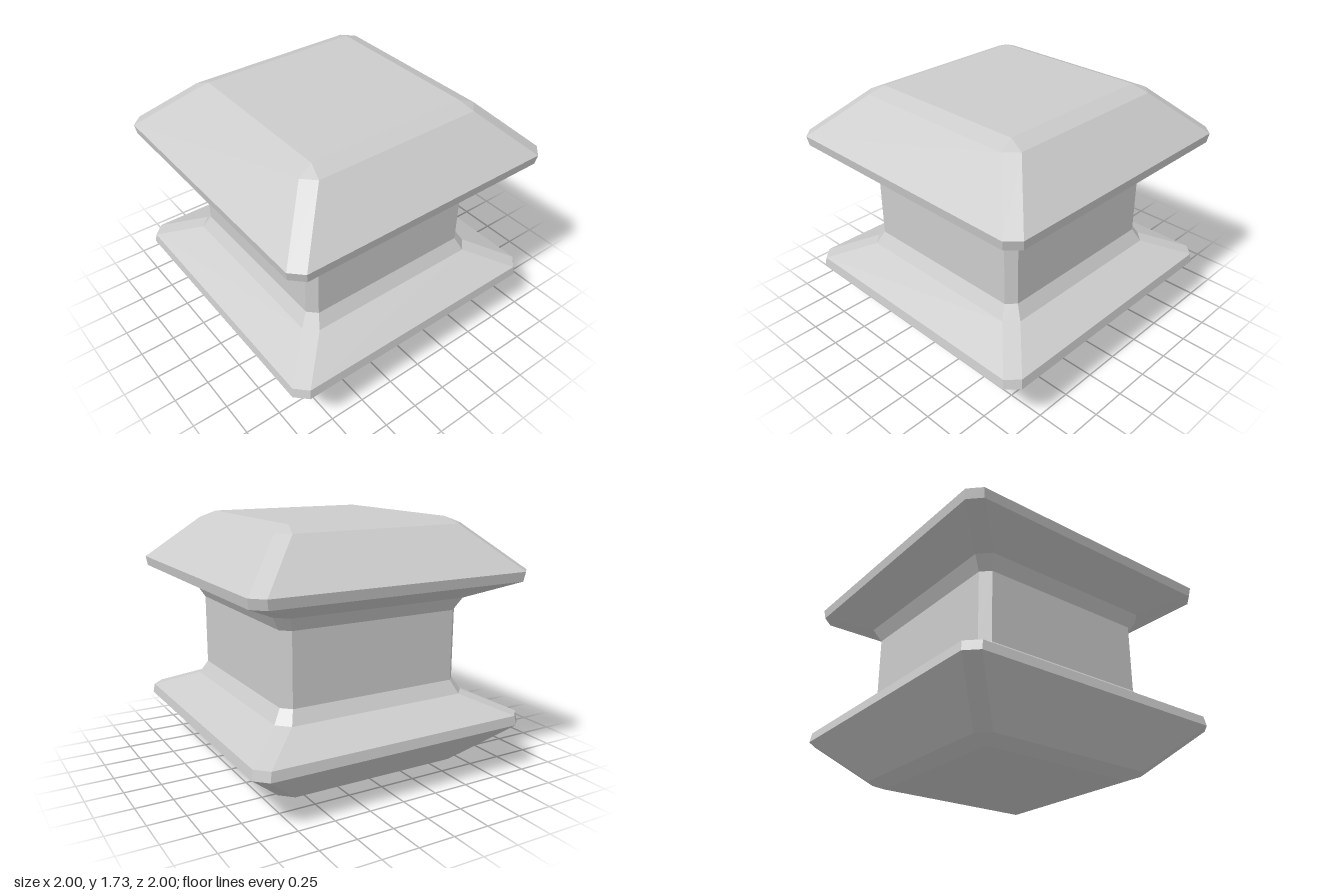
import * as THREE from 'three';

const HEIGHT = 1.73;

// Square outline with cut corners: w = half width, c = half length of the straight side
const ring = ([y, w, c]) =>
  [[w, -c], [w, c], [c, w], [-c, w], [-w, c], [-w, -c], [-c, -w], [c, -w]]
    .map(([x, z]) => new THREE.Vector3(x, y, z));

// Joins sections listed from bottom to top, with optional flat lids
function loft(name, sections, { bottom = false, top = false } = {}) {
  const rings = sections.map(ring);
  const points = [];
  const tri = (a, b, c) => {
    if (new THREE.Triangle(a, b, c).getArea() > 1e-7) points.push(a, b, c);
  };
  for (let s = 0; s < rings.length - 1; s++) {
    const lo = rings[s], hi = rings[s + 1];
    for (let i = 0; i < 8; i++) {
      const j = (i + 1) % 8;
      tri(lo[i], hi[i], lo[j]);
      tri(hi[i], hi[j], lo[j]);
    }
  }
  const first = rings[0], last = rings[rings.length - 1];
  for (let i = 1; i < 7; i++) {
    if (bottom) tri(first[0], first[i], first[i + 1]);
    if (top) tri(last[0], last[i + 1], last[i]);
  }
  const geometry = new THREE.BufferGeometry().setFromPoints(points);
  geometry.computeVertexNormals();
  const material = new THREE.MeshStandardMaterial({ color: 0xcccccc, flatShading: true });
  const mesh = new THREE.Mesh(geometry, material);
  mesh.name = name;
  return mesh;
}

export function createModel() {
  const group = new THREE.Group();
  group.name = 'squareSpool';

  // Upper flange, from the neck to the flat top: [y, w, c]
  const upper = [
    [1.11, 0.665, 0.605],
    [1.2, 0.72, 0.64],
    [1.325, 0.99, 0.91],
    [1.39, 1.0, 0.92],
    [1.687, 0.685, 0.605],
    [HEIGHT, 0.575, 0.575],
  ];
  // Lower flange mirrors the upper one
  const lower = upper.map(([y, w, c]) => [HEIGHT - y, w, c]).reverse();

  group.add(
    loft('lowerFlange', lower, { bottom: true }),
    loft('neck', [lower[lower.length - 1], upper[0]]),
    loft('upperFlange', upper, { top: true }),
  );
  return group;
}
